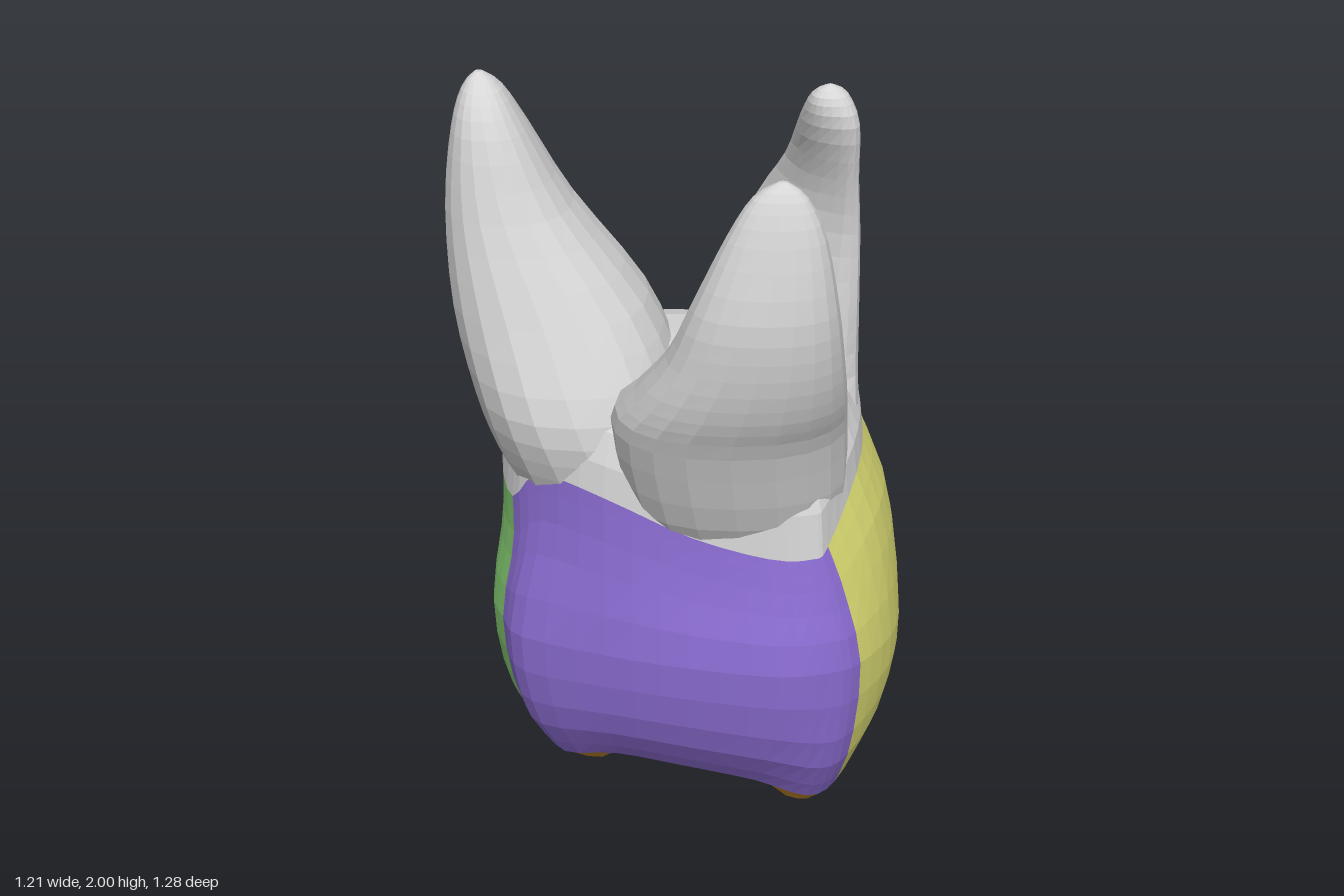
import * as THREE from 'three';

const material = (name, color) => {
  const m = new THREE.MeshStandardMaterial({ color });
  m.name = name;
  return m;
};

// Crown columns, counterclockwise from the front right corner:
// belly x, z | neck x, z, y | rim x, z, y
const COLUMNS = [
  [-0.49, 0.12, -0.45, 0.13, 0.88, -0.39, 0.05, 0.09],
  [-0.43, 0.25, -0.37, 0.23, 1.0, -0.33, 0.14, 0.07],
  [-0.2, 0.37, -0.2, 0.34, 0.99, -0.18, 0.22, 0.12],
  [0.02, 0.45, 0.02, 0.4, 0.91, 0, 0.29, 0.13],
  [0.25, 0.5, 0.22, 0.44, 0.87, 0.2, 0.33, 0.11],
  [0.39, 0.47, 0.33, 0.44, 0.87, 0.34, 0.33, 0.06],
  [0.465, 0.41, 0.37, 0.41, 0.89, 0.42, 0.29, 0.08],
  [0.56, 0.23, 0.45, 0.22, 1.0, 0.5, 0.15, 0.14],
  [0.6, 0, 0.48, 0, 1.02, 0.54, -0.02, 0.17],
  [0.57, -0.22, 0.46, -0.18, 1.02, 0.54, -0.22, 0.12],
  [0.45, -0.46, 0.35, -0.31, 1.02, 0.43, -0.47, 0.25],
  [0.25, -0.56, 0.15, -0.38, 1.01, 0.23, -0.55, 0.26],
  [0, -0.63, -0.03, -0.43, 0.98, 0, -0.6, 0.25],
  [-0.22, -0.61, -0.23, -0.42, 0.95, -0.22, -0.55, 0.13],
  [-0.38, -0.48, -0.36, -0.34, 0.98, -0.33, -0.43, 0.13],
  [-0.48, -0.27, -0.46, -0.25, 0.96, -0.42, -0.26, 0.18],
  [-0.53, -0.05, -0.49, -0.05, 0.9, -0.44, -0.07, 0.1],
];
const SUB = 3; // steps between neighbouring columns

// Root sections: y, x min, x max, z min, z max, diagonal slant
const ROOTS = {
  rightRoot: [
    [0.85, -0.43, 0.05, -0.33, 0.22, 0], [1.0, -0.5, 0.08, -0.395, 0.29, 0],
    [1.17, -0.55, 0.01, -0.36, 0.31, 0], [1.4, -0.6, -0.09, -0.305, 0.23, 0],
    [1.65, -0.61, -0.28, -0.25, 0.14, 0], [1.85, -0.585, -0.39, -0.17, 0.08, 0],
    [1.95, -0.555, -0.45, -0.11, 0.02, 0], [1.99, -0.52, -0.5, -0.06, -0.04, 0],
  ],
  frontRoot: [
    [0.8, -0.06, 0.36, 0, 0.34, 0], [0.95, -0.14, 0.42, 0, 0.44, 0],
    [1.2, -0.18, 0.415, 0.06, 0.535, 0], [1.32, -0.12, 0.405, 0.2, 0.59, 0],
    [1.45, -0.04, 0.39, 0.32, 0.625, 0], [1.6, 0.02, 0.37, 0.4, 0.638, 0],
    [1.78, 0.1, 0.335, 0.47, 0.61, 0], [1.88, 0.16, 0.29, 0.505, 0.58, 0],
    [1.92, 0.22, 0.24, 0.535, 0.55, 0],
  ],
  leftRoot: [
    [0.85, 0, 0.44, -0.28, 0.2, 0.2], [1.02, -0.05, 0.465, -0.33, 0.18, 0.4],
    [1.2, 0.01, 0.46, -0.285, 0.09, 0.6], [1.4, 0.1, 0.455, -0.27, 0.075, 0.8],
    [1.6, 0.19, 0.45, -0.245, 0.07, 0.9], [1.75, 0.26, 0.44, -0.145, 0.09, 0.8],
    [1.9, 0.29, 0.435, -0.025, 0.13, 0.4], [1.975, 0.315, 0.405, 0.035, 0.12, 0],
    [2.0, 0.355, 0.365, 0.075, 0.085, 0],
  ],
};

// Smooth interpolation through rows of numbers, t counted in rows
function spline(rows, t, closed) {
  const n = rows.length;
  const i = closed ? Math.floor(t) : Math.min(Math.floor(t), n - 2);
  const at = (k) => rows[closed ? (k + n) % n : THREE.MathUtils.clamp(k, 0, n - 1)];
  const [a, b, c, d] = [at(i - 1), at(i), at(i + 1), at(i + 2)];
  const f = t - i;
  return b.map((v, k) => v + 0.5 * f * (c[k] - a[k]
    + f * (2 * a[k] - 5 * v + 4 * c[k] - d[k] + f * (3 * (v - c[k]) + d[k] - a[k]))));
}

// Faceted skin over a grid of points: grid[column][row]
function skin(name, grid, mat) {
  const pos = [];
  for (let i = 0; i < grid.length - 1; i++) {
    for (let j = 0; j < grid[i].length - 1; j++) {
      const a = grid[i][j], b = grid[i + 1][j], c = grid[i + 1][j + 1], d = grid[i][j + 1];
      pos.push(...a, ...b, ...c, ...a, ...c, ...d);
    }
  }
  const g = new THREE.BufferGeometry();
  g.setAttribute('position', new THREE.Float32BufferAttribute(pos, 3));
  g.computeVertexNormals();
  const mesh = new THREE.Mesh(g, mat);
  mesh.name = name;
  return mesh;
}

const mix = (a, b, t) => a.map((v, k) => v + (b[k] - v) * t);

// Side wall from rim to neck, fuller at the back and left
function wallColumn([bx, bz, nx, nz, ny, rx, rz, ry]) {
  const rim = [rx, ry, rz], belly = [bx, 0.48 + 0.15 * bz, bz], neck = [nx, ny, nz];
  const low = mix(rim, belly, 0.7);
  low[1] = rim[1] + (belly[1] - rim[1]) * 0.4;
  const high = mix(belly, neck, 0.65 + 0.25 * bz - 0.5 * bx);
  high[1] = belly[1] + (neck[1] - belly[1]) * 0.62;
  const rows = [rim, low, belly, high, neck];
  return Array.from({ length: 11 }, (_, k) => spline(rows, k * 0.4, false));
}

// Trunk closing over the neck between the roots
function trunkColumn([, , nx, nz, ny]) {
  return [[1, 0], [0.98, 0.3], [0.91, 0.58], [0.75, 0.8], [0.42, 0.95], [0, 1]].map(([s, h]) =>
    [0.02 + (nx - 0.02) * s, ny + (1.28 - ny) * h, -0.02 + (nz + 0.02) * s]);
}

// Chewing surface: a bowl with cusps (x, z, height)
const CUSPS = [[0.35, 0.23, 0.13], [-0.25, -0.03, 0.135], [0.47, -0.14, 0.12],
  [-0.21, -0.46, 0.07], [0.35, -0.44, 0.08], [-0.22, 0.1, 0.04]];
function chewColumn([, , , , , rx, rz, ry]) {
  return [0, 0.15, 0.3, 0.45, 0.6, 0.72, 0.83, 0.92, 0.97, 1].map((t) => {
    const x = 0.03 + (rx - 0.03) * t, z = -0.1 + (rz + 0.1) * t;
    let y = 0.2 * (1 - t) + ry * t;
    for (const [cx, cz, h] of CUSPS) {
      const d2 = (x - cx) ** 2 + (z - cz) ** 2;
      y -= h * Math.exp(-d2 / 0.018) * (1 - t ** 8);
    }
    return [x, Math.max(0.002, y), z];
  });
}

// Root loft with slightly squared oval sections, slanted along the diagonal
function rootGrid(sections) {
  const sides = 20, rows = (sections.length - 1) * 3;
  const round = (v) => Math.sign(v) * Math.abs(v) ** 0.86;
  return Array.from({ length: sides + 1 }, (_, i) => {
    const a = (i / sides) * Math.PI * 2;
    const column = Array.from({ length: rows + 1 }, (_, j) => {
      const [y, x0, x1, z0, z1, slant] = spline(sections, j / 3, false);
      return [(x0 + x1) / 2 + (x1 - x0) / 2 * round(Math.sin(a)), y,
        (z0 + z1) / 2 + (z1 - z0) / 2 * round(Math.cos(a - slant))];
    });
    const [y, x0, x1, z0, z1] = sections[sections.length - 1];
    column.push([(x0 + x1) / 2, y, (z0 + z1) / 2]);
    return column;
  });
}

export function createModel() {
  const model = new THREE.Group();
  model.name = 'molar';
  const rootGray = material('root gray', 0xd6d6d6);
  const chewOrange = material('chewing surface orange', 0xc68a2a);

  const range = (from, to) => Array.from({ length: (to - from) * SUB + 1 }, (_, k) =>
    spline(COLUMNS, (from + k / SUB) % COLUMNS.length, true));
  const whole = range(0, COLUMNS.length);

  // Four coloured crown walls
  const walls = [
    ['frontWall', 0, 6, material('front purple', 0x8e6fd6)],
    ['leftWall', 6, 10, material('left yellow', 0xdcdc74)],
    ['backWall', 10, 13, material('back blue', 0x529dd8)],
    ['rightWall', 13, 17, material('right green', 0x88d074)],
  ];
  for (const [name, from, to, mat] of walls) {
    model.add(skin(name, range(from, to).map(wallColumn), mat));
  }

  model.add(skin('chewingSurface', whole.map(chewColumn), chewOrange));
  model.add(skin('rootTrunk', whole.map(trunkColumn), rootGray));
  for (const [name, sections] of Object.entries(ROOTS)) {
    model.add(skin(name, rootGrid(sections), rootGray));
  }
  return model;
}
